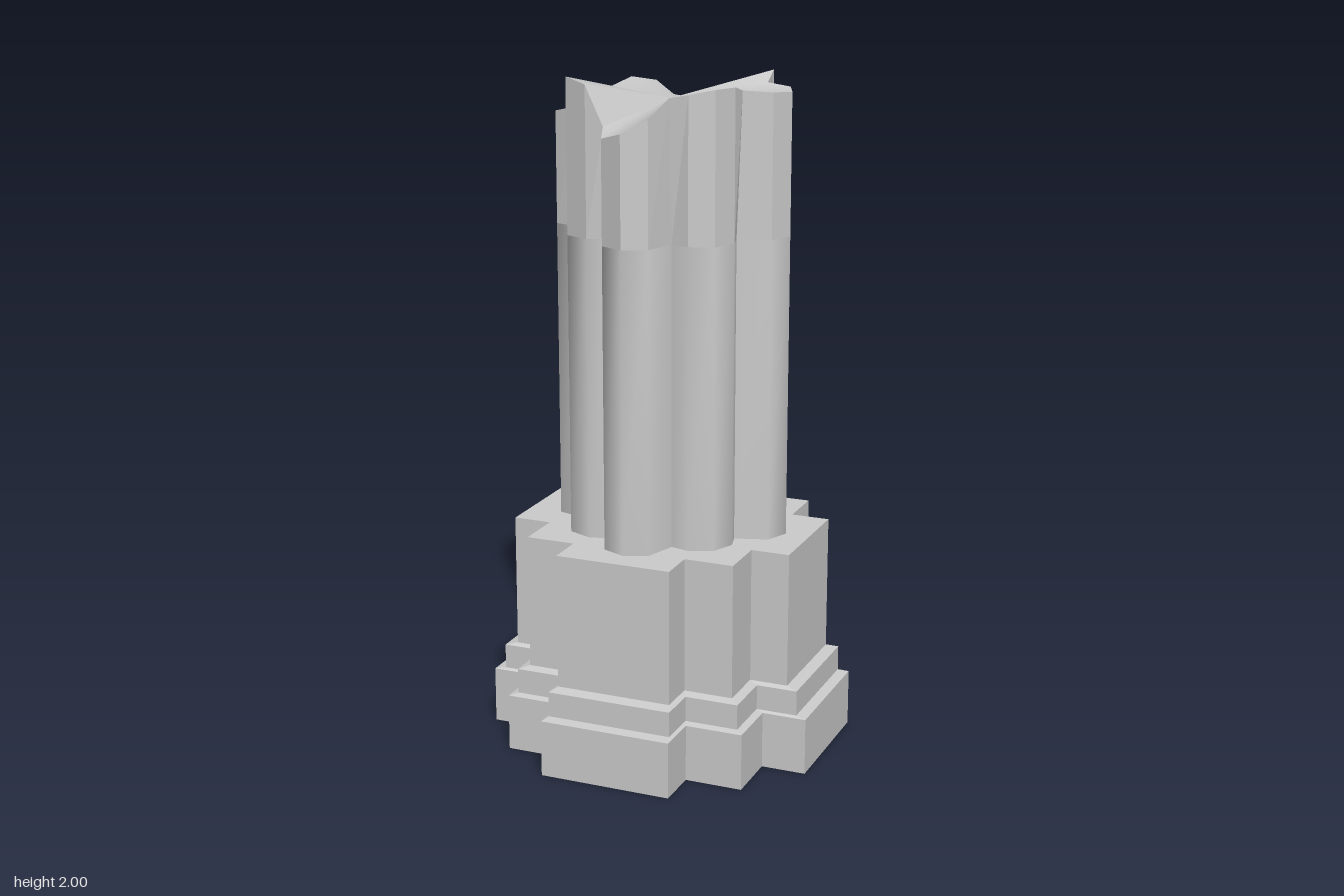
import * as THREE from 'three';
import { toCreasedNormals } from 'three/addons/utils/BufferGeometryUtils.js';

// Repeat a quarter outline of [x, z] points four times, from +z round through +x
function fourfold(quarter) {
  const ring = [];
  for (let q = 0; q < 4; q++) {
    for (const [px, pz] of quarter) {
      let x = px, z = pz;
      for (let k = 0; k < q; k++) [x, z] = [z, -x];
      ring.push([x, z]);
    }
  }
  return ring;
}

// Skin stacked rings of [x, y, z]; an optional centre point closes the top as a fan
function loft(rings, centre) {
  const pos = [];
  const tri = (a, b, c) => pos.push(...a, ...b, ...c);
  const n = rings[0].length;
  for (let j = 0; j < rings.length - 1; j++) {
    for (let i = 0; i < n; i++) {
      const k = (i + 1) % n;
      tri(rings[j][i], rings[j][k], rings[j + 1][k]);
      tri(rings[j][i], rings[j + 1][k], rings[j + 1][i]);
    }
  }
  if (centre) {
    const top = rings[rings.length - 1];
    for (let i = 0; i < n; i++) tri(centre, top[i], top[(i + 1) % n]);
  }
  const geo = new THREE.BufferGeometry();
  geo.setAttribute('position', new THREE.Float32BufferAttribute(pos, 3));
  geo.computeVertexNormals();
  return geo;
}

const lift = (ring, y) => ring.map(([x, z]) => [x, y, z]);

export function createModel() {
  const group = new THREE.Group();
  const add = (name, geo, flat) => {
    const mat = new THREE.MeshStandardMaterial({ color: 0xcccccc, side: THREE.DoubleSide, flatShading: flat });
    const mesh = new THREE.Mesh(geo, mat);
    mesh.name = name;
    group.add(mesh);
  };

  // Stepped cross-shaped plinth, open underneath: a = arm reach, c = inner corner, w = arm half width
  const cross = (a, c, w, y) => lift(fourfold([[-w, a], [w, a], [w, c], [c, c], [c, w]]), y);
  const foot = [0.505, 0.372, 0.2], band = [0.473, 0.35, 0.19], block = [0.438, 0.323, 0.175];
  add('plinth', loft([
    cross(...foot, 0), cross(...foot, 0.17),
    cross(...band, 0.175), cross(...band, 0.25),
    cross(...block, 0.257), cross(...block, 0.66),
  ], [0, 0.66, 0]), true);

  // Clustered shaft of eight lobes; v sets the depth of the valleys between them
  const lobes = v => fourfold([
    [0, 0.365], [0.07, 0.335], [0.1, v], [0.155, 0.253],
    [0.225, 0.228], [0.255, 0.155], [v, 0.1], [0.335, 0.07],
  ]);
  const shaftRing = lobes(0.24), rimRing = lobes(0.255);
  add('shaft', toCreasedNormals(loft([lift(shaftRing, 0.66), lift(shaftRing, 1.55)]), 0.95), false);

  // Heights of the broken rim, following the lobes from front to left, back and right
  const heights = [
    1.87, 1.91, 1.96, 1.97, 1.985, 1.985, 1.97, 1.965,
    1.96, 1.965, 1.97, 2.0, 1.98, 1.965, 1.95, 1.9,
    1.85, 1.88, 1.9, 1.94, 1.95, 1.93, 1.89, 1.88,
    1.85, 1.88, 1.9, 1.96, 2.0, 1.985, 1.87, 1.85,
  ];
  const rim = rimRing.map(([x, z], i) => [x, heights[i], z]);
  add('brokenShaftEnd', loft([lift(shaftRing, 1.55), rim]), true);

  // Uneven fracture surface, fanned from the middle
  add('brokenTop', toCreasedNormals(loft([rim], [0, 1.925, 0]), 0.6), false);

  return group;
}
